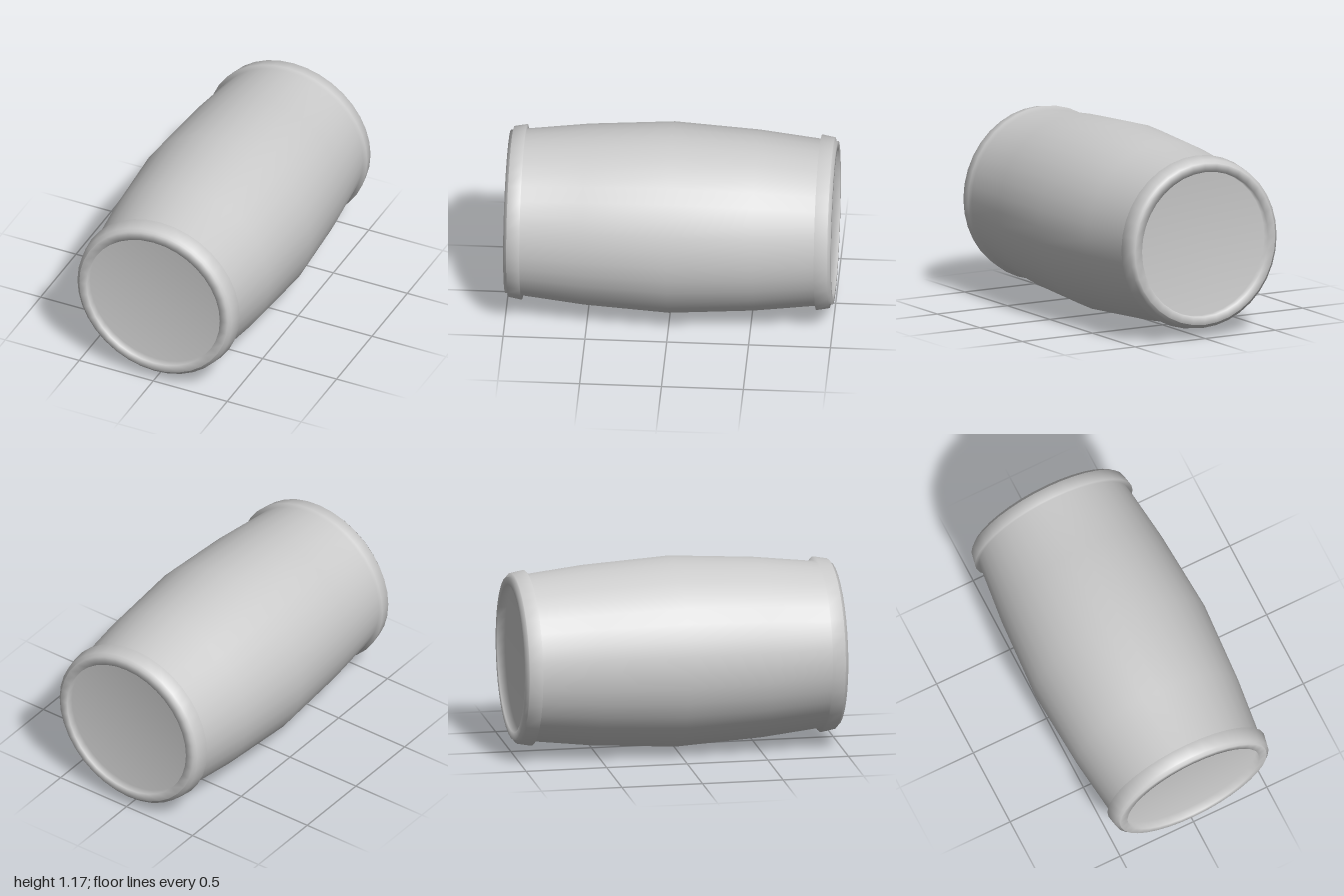
import * as THREE from 'three';

const SIDES = 36;
const CENTRE_Y = 0.586;

// Half profile as [radius, distance from the middle], from the waist to the middle of the skin
const half = [
  [0.585, 0], [0.553, 0.52], [0.51, 0.9],                 // barrel
  [0.537, 0.9], [0.522, 0.98], [0.5, 0.98],               // hoop
  [0.5, 1], [0.45, 1],                                    // lip
  [0.45, 0.95], [0, 0.95],                                // recessed skin
];

// Profile segments of each part, counted outwards from the waist
const parts = { barrel: [0, 2], hoop: [2, 5], lip: [5, 7], skin: [7, 9] };

export function createModel() {
  const group = new THREE.Group();
  group.name = 'drum';
  const material = new THREE.MeshStandardMaterial({ color: 0xcccccc });

  // One smooth lathe from the back skin to the front skin, so shading flows between parts
  const profile = [...half.slice(1).reverse().map(([r, d]) => [r, -d]), ...half];
  const whole = new THREE.LatheGeometry(profile.map(([r, d]) => new THREE.Vector2(r, d)), SIDES);
  whole.rotateX(Math.PI / 2);
  whole.translate(0, CENTRE_Y, 0);

  // Cut the bands between two profile points out of the lathe
  const rows = profile.length - 1;
  const addPart = (name, from, to) => {
    const index = Array.from(whole.index.array).filter((_, k) => {
      const row = Math.floor(k / 6) % rows;
      return row >= from && row < to;
    });
    const cut = whole.clone();
    cut.setIndex(index);
    const mesh = new THREE.Mesh(cut.toNonIndexed(), material);
    mesh.name = name;
    group.add(mesh);
  };

  const mid = rows / 2;
  for (const [name, [a, b]] of Object.entries(parts)) {
    if (name === 'barrel') {
      addPart(name, mid - b, mid + b);
    } else {
      addPart('front ' + name, mid + a, mid + b);
      addPart('back ' + name, mid - b, mid - a);
    }
  }
  return group;
}
